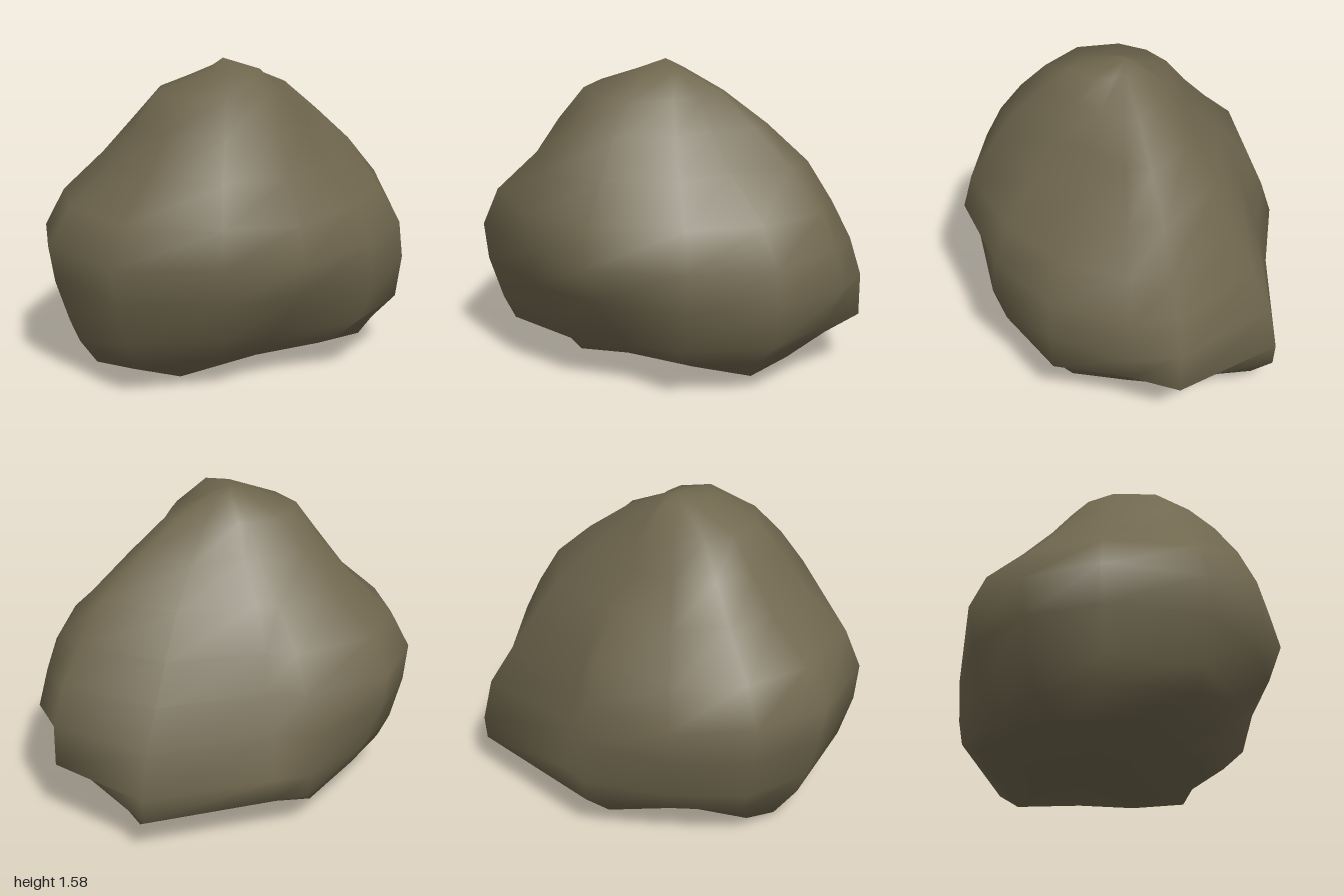
import * as THREE from 'three';

// Compass directions of the boulder's ribs, in degrees from +x towards +z
const ANGLES = [0, 25, 55, 90, 118, 150, 180, 203, 228, 260, 272, 313, 346];

// Edge of the uneven foot, one point near each rib: a low left lobe,
// a groove at the front and a broad raised right and back
const FOOT = [
  [0.70, 0.09, 0], [0.63, 0.08, 0.28], [0.34, 0.10, 0.36], [-0.03, 0.10, 0.37],
  [-0.40, 0, 0.25], [-0.60, 0.03, 0.13], [-0.745, 0.03, -0.05], [-0.71, 0.06, -0.22],
  [-0.46, 0.11, -0.42], [-0.20, 0.10, -0.69], [0, 0.12, -0.68], [0.68, 0.11, -0.64],
  [0.72, 0.12, -0.30],
];

// Cross-sections above the foot: height, then the radius along each rib.
// The back is recessed from rib 272 onwards, which leaves a lip at rib 260.
const RINGS = [
  [0.18, [.76, .76, .62, .45, .58, .82, .85, .83, .74, .80, .78, 1.02, .85]],
  [0.30, [.89, .88, .75, .56, .66, .88, .90, .89, .81, .82, .79, 1.03, 1.02]],
  [0.52, [1.0, .91, .82, .76, .79, .95, .97, .95, .89, .83, .73, .98, 1.02]],
  [0.71, [.95, .89, .80, .83, .83, .97, 1.0, .97, .92, .77, .66, .86, .96]],
  [0.90, [.87, .78, .72, .78, .81, .89, .88, .87, .83, .69, .61, .74, .86]],
  [1.10, [.70, .52, .55, .66, .71, .68, .65, .66, .62, .52, .50, .60, .73]],
  [1.28, [.50, .37, .41, .55, .58, .56, .52, .50, .45, .34, .32, .42, .52]],
  [1.44, [.31, .27, .29, .39, .43, .43, .40, .36, .32, .25, .23, .24, .29]],
  [1.54, [.08, .10, .17, .26, .22, .15, .11, .10, .10, .10, .10, .08, .07]],
];

function boulderGeometry() {
  const n = ANGLES.length;
  const positions = FOOT.flat();
  const index = [];

  for (const [y, radii] of RINGS) {
    radii.forEach((r, j) => {
      const a = THREE.MathUtils.degToRad(ANGLES[j]);
      positions.push(r * Math.cos(a), y, r * Math.sin(a));
    });
  }

  // Centre of the underside, then the peak
  const last = RINGS.length * n;
  const bottom = last + n;
  const top = bottom + 1;
  positions.push(-0.03, 0.10, -0.22, -0.03, 1.58, -0.03);

  // Skin between rings, then the two caps
  for (let j = 0; j < n; j++) {
    const k = (j + 1) % n;
    for (let i = 0; i < RINGS.length; i++) {
      const a = i * n + j, b = i * n + k;
      index.push(a, a + n, b, b, a + n, b + n);
    }
    index.push(bottom, j, k);
    index.push(top, last + k, last + j);
  }

  const geometry = new THREE.BufferGeometry();
  geometry.setAttribute('position', new THREE.Float32BufferAttribute(positions, 3));
  geometry.setIndex(index);
  geometry.computeVertexNormals();
  return geometry;
}

export function createModel() {
  const stone = new THREE.MeshStandardMaterial({ color: 0x70674e });
  stone.name = 'brown stone';

  const boulder = new THREE.Mesh(boulderGeometry(), stone);
  boulder.name = 'boulder';

  const group = new THREE.Group();
  group.name = 'rock';
  group.add(boulder);
  return group;
}
